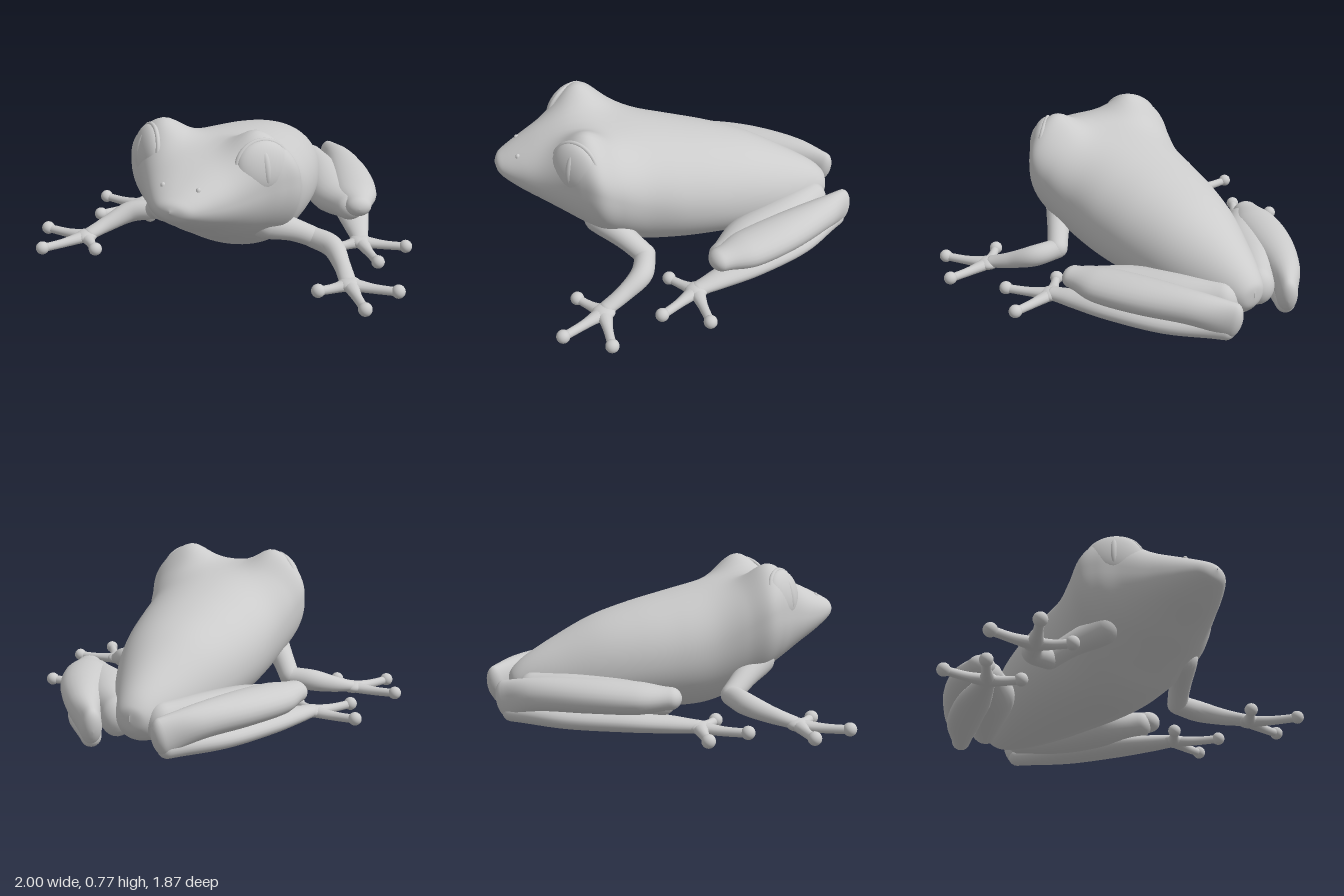
import * as THREE from 'three';

const V = (x, y, z) => new THREE.Vector3(x, y, z);
const skin = new THREE.MeshStandardMaterial({ color: 0xcccccc });

function mesh(name, geometry) {
  const m = new THREE.Mesh(geometry, skin);
  m.name = name;
  return m;
}

// Skin a list of closed rings (all with the same number of points)
function loft(rings) {
  const n = rings[0].length, pos = [], idx = [];
  rings.forEach(r => r.forEach(p => pos.push(p.x, p.y, p.z)));
  for (let i = 0; i < rings.length - 1; i++) {
    for (let j = 0; j < n; j++) {
      const a = i * n + j, b = i * n + (j + 1) % n;
      idx.push(a, b, b + n, a, b + n, a + n);
    }
  }
  const g = new THREE.BufferGeometry();
  g.setAttribute('position', new THREE.Float32BufferAttribute(pos, 3));
  g.setIndex(idx);
  g.computeVertexNormals();
  return g;
}

// Round-ended limb through points [x, y, z, halfWidth, halfHeight]
function limb(name, sx, pts, steps = 28, sides = 24) {
  const path = new THREE.CatmullRomCurve3(pts.map(p => V(p[0] * sx, p[1], p[2])));
  const size = new THREE.SplineCurve(pts.map(p => new THREE.Vector2(p[3], p[4] ?? p[3])));
  const rings = [];
  const ring = (t, scale, push) => {
    const T = path.getTangent(t), r = size.getPoint(t);
    const side = V(0, 1, 0).cross(T).normalize(), up = T.clone().cross(side);
    const c = path.getPoint(t).addScaledVector(T, push * Math.min(r.x, r.y));
    rings.push(Array.from({ length: sides }, (_, j) => {
      const a = j / sides * Math.PI * 2;
      return c.clone().addScaledVector(side, Math.cos(a) * r.x * scale)
        .addScaledVector(up, Math.sin(a) * r.y * scale);
    }));
  };
  const cap = 7;
  for (let k = cap; k > 0; k--) {
    const a = k / cap * Math.PI / 2;
    ring(0, Math.max(Math.cos(a), 0.001), -Math.sin(a));
  }
  for (let i = 0; i <= steps; i++) ring(i / steps, 1, 0);
  for (let k = 1; k <= cap; k++) {
    const a = k / cap * Math.PI / 2;
    ring(1, Math.max(Math.cos(a), 0.001), Math.sin(a));
  }
  return mesh(name, loft(rings));
}

function ball(name, x, y, z, rx, ry, rz) {
  const m = mesh(name, new THREE.SphereGeometry(1, 32, 20));
  m.position.set(x, y, z);
  m.scale.set(rx, ry, rz);
  return m;
}

// Head and trunk: z, half width, top, bottom, height of widest line, upper squareness
function body() {
  const rows = [
    [-0.835, 0.002, 0.19, 0.16, 0.175, 2], [-0.82, 0.07, 0.235, 0.1, 0.17, 2],
    [-0.75, 0.125, 0.3, 0.04, 0.17, 2], [-0.6, 0.2, 0.39, 0.01, 0.19, 2],
    [-0.4, 0.28, 0.49, 0, 0.23, 2.1], [-0.2, 0.335, 0.555, 0, 0.27, 2.1],
    [0, 0.368, 0.605, 0, 0.31, 2.1], [0.18, 0.385, 0.645, 0.01, 0.36, 2.2],
    [0.32, 0.42, 0.67, 0.06, 0.43, 2.5], [0.43, 0.448, 0.685, 0.13, 0.49, 2.9],
    [0.52, 0.4, 0.685, 0.185, 0.5, 3], [0.6, 0.33, 0.67, 0.23, 0.49, 2.8],
    [0.7, 0.255, 0.635, 0.295, 0.475, 2.5], [0.8, 0.185, 0.59, 0.355, 0.475, 2.3],
    [0.88, 0.12, 0.55, 0.41, 0.48, 2.1], [0.92, 0.07, 0.525, 0.445, 0.485, 2],
    [0.937, 0.002, 0.495, 0.485, 0.49, 2],
  ];
  const col = k => new THREE.SplineCurve(rows.map(r => new THREE.Vector2(r[0], r[k])));
  const cols = [1, 2, 3, 4, 5].map(col);
  const rings = [], steps = 128, sides = 80;
  for (let i = 0; i <= steps; i++) {
    const z = cols[0].getPoint(i / steps).x;
    const [w, top, bottom, mid, n] = cols.map(c => c.getPoint(i / steps).y);
    rings.push(Array.from({ length: sides }, (_, j) => {
      const a = j / sides * Math.PI * 2, c = Math.cos(a), s = Math.sin(a);
      const e = 2 / (s > 0 ? n : 2.05);
      const x = w * Math.sign(c) * Math.abs(c) ** e;
      let y = mid + (s > 0 ? top - mid : mid - bottom) * Math.sign(s) * Math.abs(s) ** e;
      // brow bulges over the eyes
      const dx = Math.abs(x) - 0.255;
      y += 0.098 * Math.sqrt(Math.max(0, s)) *
        Math.exp(-((dx / (dx > 0 ? 0.2 : 0.12)) ** 2) - ((z - 0.485) / 0.13) ** 2);
      return V(x, y, z);
    }));
  }
  return mesh('body', loft(rings));
}

// Domed eye with a rim and an upright pupil ridge
function eye(sx) {
  const g = new THREE.Group();
  g.name = sx > 0 ? 'leftEye' : 'rightEye';
  g.add(ball('eyeball', 0, 0, 0, 0.138, 0.128, 0.06));
  g.add(ball('pupil', 0, 0, 0.022, 0.03, 0.095, 0.043));
  const rim = mesh('eyeRim', new THREE.TorusGeometry(0.135, 0.012, 10, 48));
  rim.scale.y = 0.94;
  g.add(rim);
  g.position.set(0.3 * sx, 0.613, 0.54);
  g.lookAt(g.position.clone().add(V(0.7 * sx, 0.22, 0.66)));
  return g;
}

// Splayed foot: three toes ending in round pads
function foot(name, sx, [cx, cz], tips) {
  const g = new THREE.Group();
  g.name = name;
  g.add(ball('palm', cx * sx, 0.037, cz, 0.058, 0.032, 0.058));
  for (const [x, z] of tips) {
    const mx = (cx + x) / 2, mz = (cz + z) / 2;
    g.add(limb('toe', sx, [[cx, 0.036, cz, 0.042, 0.03],
      [mx, 0.03, mz, 0.025, 0.024], [x, 0.033, z, 0.022]], 12, 14));
    g.add(ball('toePad', x * sx, 0.035, z, 0.034, 0.034, 0.034));
  }
  return g;
}

export function createModel() {
  const frog = new THREE.Group();
  frog.name = 'frog';
  frog.add(body());
  for (const sx of [1, -1]) {
    const side = sx > 0 ? 'left' : 'right';
    frog.add(eye(sx));
    frog.add(ball(side + 'Nostril', 0.09 * sx, 0.565, 0.815, 0.013, 0.016, 0.013));

    // front leg
    frog.add(limb(side + 'UpperArm', sx, [[0.27, 0.27, 0.43, 0.08],
      [0.37, 0.2, 0.31, 0.06], [0.44, 0.135, 0.22, 0.054]]));
    frog.add(limb(side + 'Forearm', sx, [[0.445, 0.132, 0.22, 0.053],
      [0.565, 0.115, 0.255, 0.056], [0.65, 0.075, 0.355, 0.043], [0.71, 0.045, 0.45, 0.042, 0.032]]));
    frog.add(foot(side + 'FrontFoot', sx, [0.725, 0.465],
      [[0.965, 0.45], [0.865, 0.675], [0.605, 0.585]]));

    // folded hind leg
    frog.add(limb(side + 'Thigh', sx, [[0.12, 0.14, -0.73, 0.085, 0.1],
      [0.25, 0.135, -0.55, 0.12, 0.11], [0.39, 0.135, -0.33, 0.13, 0.1], [0.53, 0.15, -0.17, 0.08, 0.07]]));
    frog.add(limb(side + 'Shank', sx, [[0.585, 0.175, -0.14, 0.07, 0.055],
      [0.525, 0.172, -0.28, 0.118, 0.078], [0.425, 0.175, -0.5, 0.118, 0.085],
      [0.29, 0.165, -0.74, 0.085, 0.085], [0.185, 0.125, -0.875, 0.052, 0.098]]));
    frog.add(limb(side + 'Tarsus', sx, [[0.2, 0.065, -0.85, 0.05, 0.05],
      [0.36, 0.058, -0.6, 0.09, 0.055], [0.5, 0.055, -0.32, 0.09, 0.053],
      [0.59, 0.045, -0.12, 0.06, 0.042], [0.635, 0.04, -0.02, 0.045, 0.033]]));
    frog.add(foot(side + 'HindFoot', sx, [0.64, -0.01],
      [[0.875, -0.04], [0.79, 0.185], [0.525, 0.11]]));
  }
  return frog;
}
